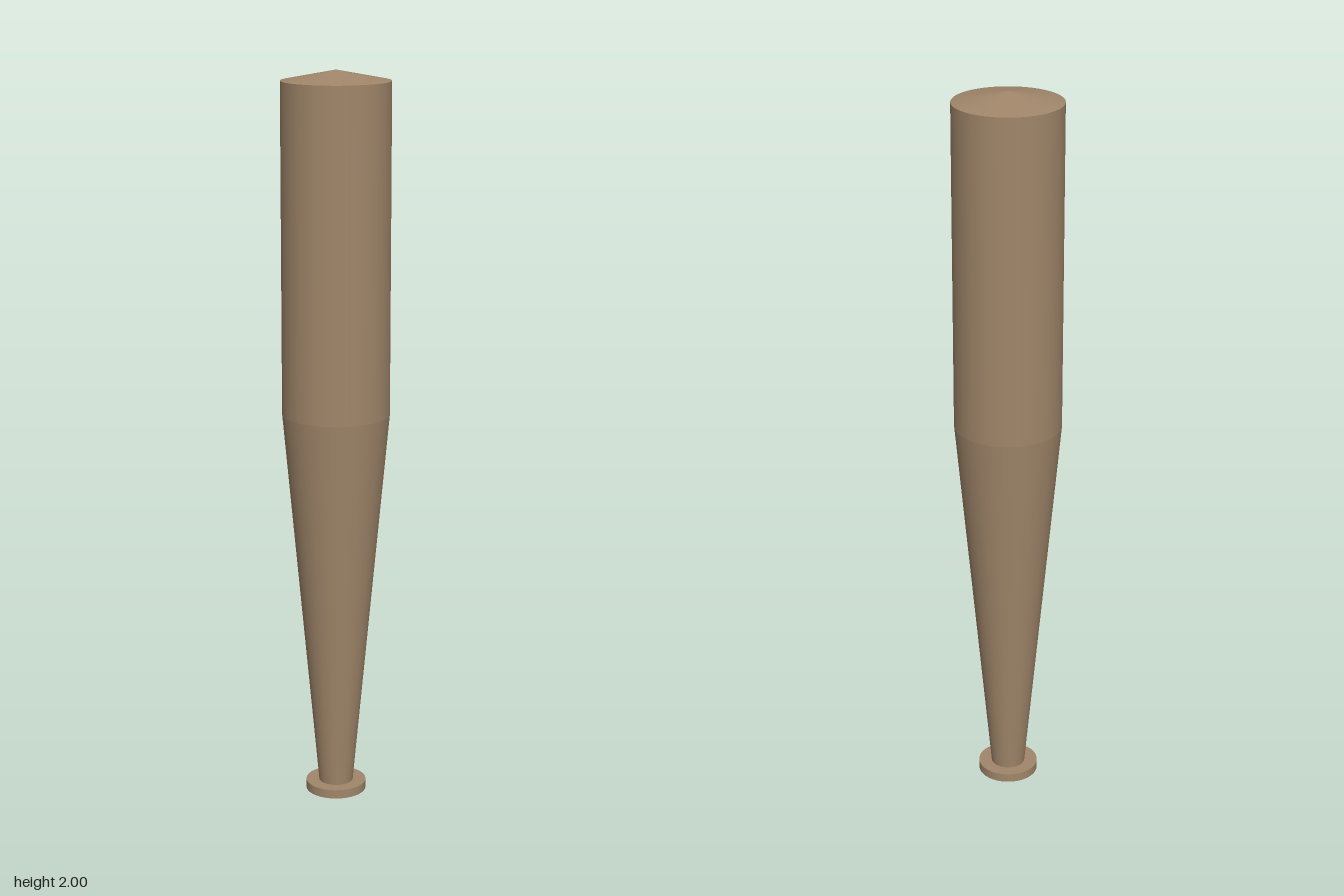
import * as THREE from 'three';

export function createModel() {
  const model = new THREE.Group();
  const wood = new THREE.MeshStandardMaterial({ color: 0xa0866a });
  wood.name = 'wood';
  const SIDES = 64;

  // Adds a round section standing between two heights
  function section(name, y0, y1, bottomRadius, topRadius, open) {
    const geometry = new THREE.CylinderGeometry(topRadius, bottomRadius, y1 - y0, SIDES, 1, open);
    const mesh = new THREE.Mesh(geometry, wood);
    mesh.name = name;
    mesh.position.y = (y0 + y1) / 2;
    model.add(mesh);
  }

  // Flat disc at the foot of the grip
  section('knob', 0, 0.025, 0.083, 0.083, false);
  // Grip widening up to the barrel
  section('handle', 0.025, 1.085, 0.047, 0.145, true);
  // Straight hitting part
  section('barrel', 1.085, 1.972, 0.145, 0.145, true);
  // Shallow cone closing the top
  section('tip', 1.972, 2, 0.145, 0, true);

  return model;
}
